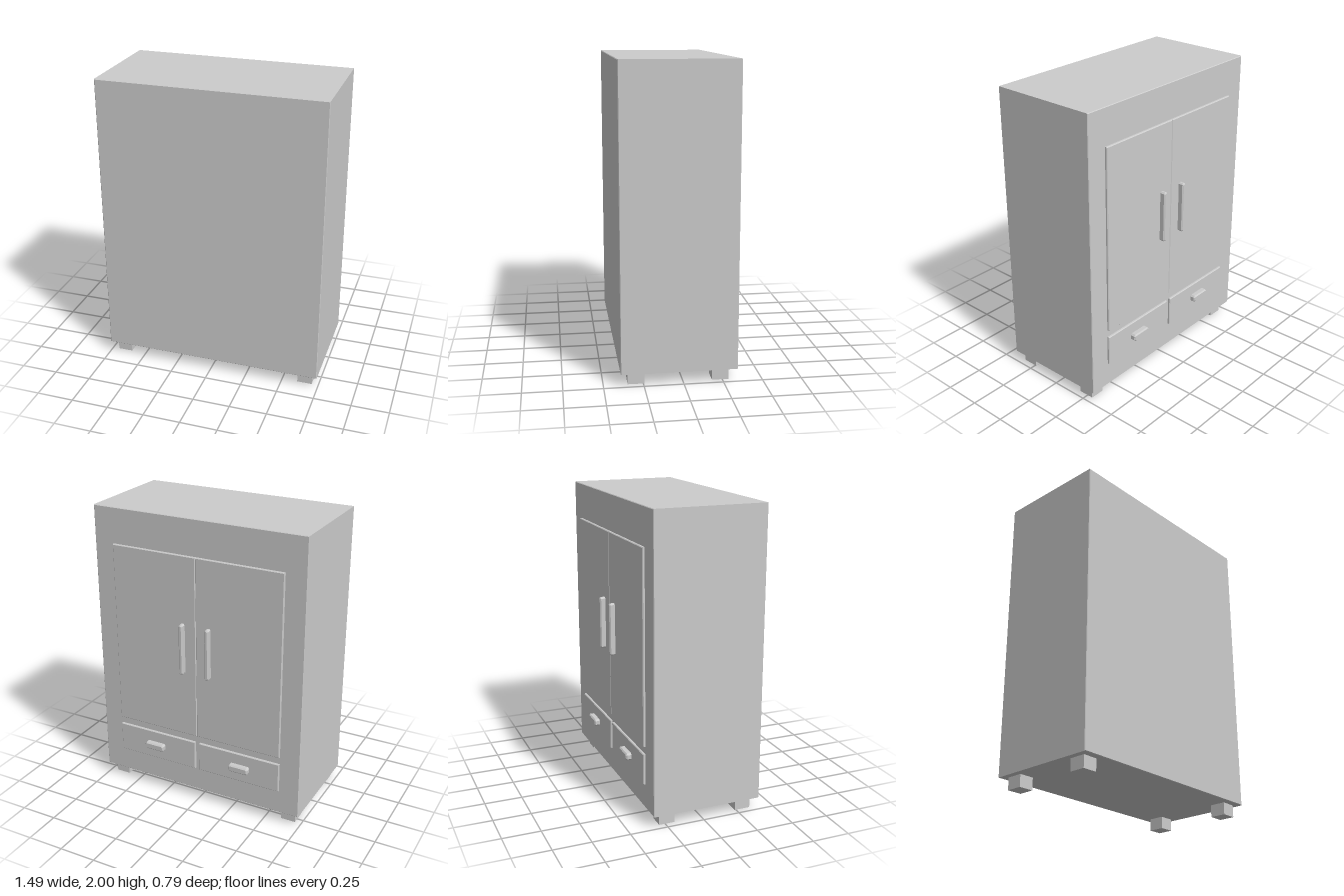
import * as THREE from 'three';

const material = new THREE.MeshStandardMaterial({ color: 0xcccccc, flatShading: true });

// Bevelled block spanning the given ranges; corner chamfers the outline seen along z
function block(name, [x0, x1], [y0, y1], [z0, z1], bevel, corner = 0) {
  const w = (x1 - x0) / 2 - bevel, h = (y1 - y0) / 2 - bevel, c = corner;
  const points = c
    ? [[-w + c, -h], [w - c, -h], [w, -h + c], [w, h - c], [w - c, h], [-w + c, h], [-w, h - c], [-w, -h + c]]
    : [[-w, -h], [w, -h], [w, h], [-w, h]];
  const geometry = new THREE.ExtrudeGeometry(
    new THREE.Shape(points.map(([x, y]) => new THREE.Vector2(x, y))),
    { depth: z1 - z0 - 2 * bevel, bevelEnabled: true, bevelSize: bevel, bevelThickness: bevel, bevelSegments: 1 }
  );
  geometry.translate((x0 + x1) / 2, (y0 + y1) / 2, z0 + bevel);
  const mesh = new THREE.Mesh(geometry, material);
  mesh.name = name;
  return mesh;
}

export function createModel() {
  const cabinet = new THREE.Group();
  cabinet.name = 'cabinet';

  // Carcass
  cabinet.add(block('body', [-0.745, 0.745], [0.08, 2], [-0.342, 0.394], 0.004));

  for (const side of [-1, 1]) {
    const span = (a, b) => (side > 0 ? [a, b] : [-b, -a]);
    const label = side > 0 ? 'left' : 'right';

    // Feet
    for (const [end, z] of [['front', 0.295], ['back', -0.238]]) {
      const foot = new THREE.Mesh(new THREE.BoxGeometry(0.1, 0.09, 0.106), material);
      foot.position.set(side * 0.655, 0.045, z);
      foot.name = `${label} ${end} foot`;
      cabinet.add(foot);
    }

    // Door and its upright handle
    cabinet.add(block(`${label} door`, span(0, 0.605), [0.5, 1.76], [-0.357, -0.33], 0.005));
    cabinet.add(block(`${label} door handle`, span(0.079, 0.109), [0.955, 1.305], [-0.394, -0.345], 0.008, 0.004));

    // Drawer and its pull
    cabinet.add(block(`${label} drawer`, span(0.015, 0.605), [0.245, 0.45], [-0.357, -0.33], 0.005));
    cabinet.add(block(`${label} drawer handle`, span(0.25, 0.393), [0.324, 0.372], [-0.394, -0.345], 0.008, 0.006));
  }
  return cabinet;
}
